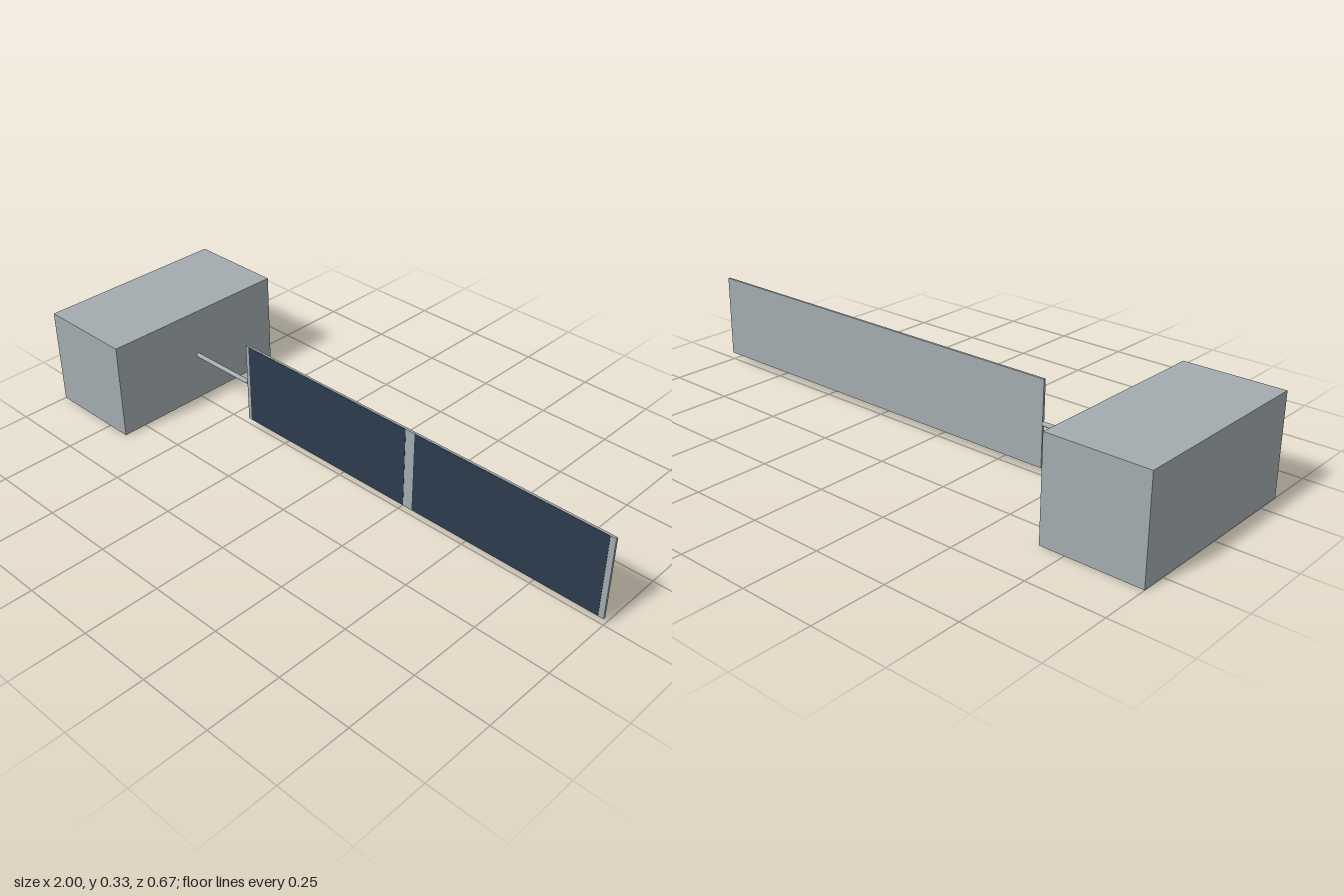
import * as THREE from 'three';

export function createModel() {
  const model = new THREE.Group();
  model.name = 'satellite';

  const hullGrey = new THREE.MeshStandardMaterial({ color: 0xa3abae });
  hullGrey.name = 'hull grey';
  const cellBlue = new THREE.MeshStandardMaterial({ color: 0x2c3b4e });
  cellBlue.name = 'solar cell blue';

  const midY = 1 / 6;
  const add = (name, geometry, material, x, z = 0) => {
    const mesh = new THREE.Mesh(geometry, material);
    mesh.name = name;
    mesh.position.set(x, midY, z);
    model.add(mesh);
    return mesh;
  };

  // Box-shaped body
  add('body', new THREE.BoxGeometry(1 / 3, 1 / 3, 2 / 3), hullGrey, -5 / 6);

  // Round boom between the body and the panel
  const boom = new THREE.CylinderGeometry(0.0075, 0.0075, 0.25, 24).rotateZ(Math.PI / 2);
  add('boom', boom, hullGrey, -0.5417);

  // Backing panel
  add('panel', new THREE.BoxGeometry(1.4167, 0.2833, 0.008), hullGrey, 0.2917);

  // Two solar cell plates on the front of the panel
  for (const [name, x] of [['innerSolarCells', -0.0655], ['outerSolarCells', 0.6445]]) {
    add(name, new THREE.BoxGeometry(0.675, 0.281, 0.001), cellBlue, x, 0.0043);
  }

  return model;
}
